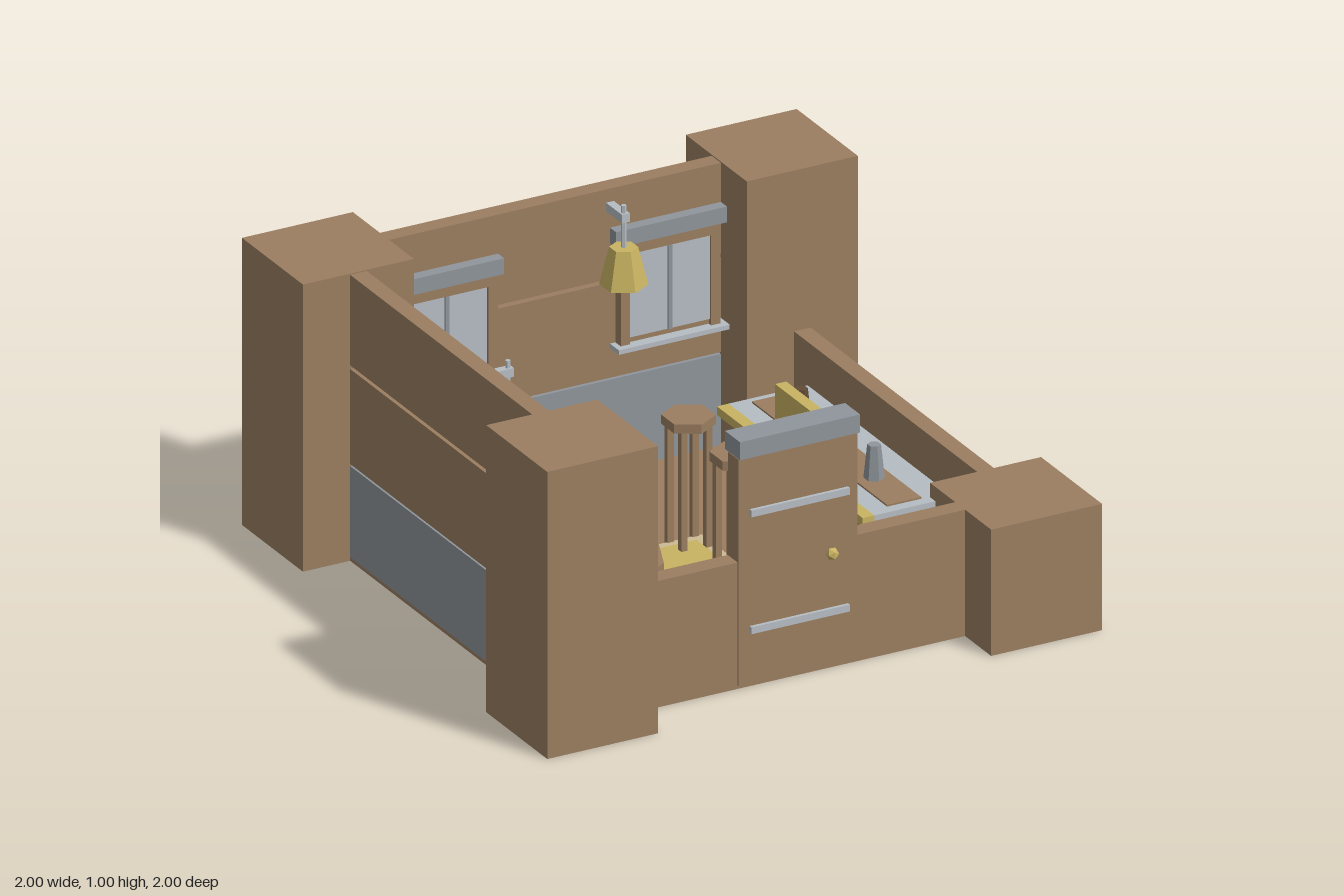
import * as THREE from 'three';

export function createModel() {
  const root = new THREE.Group();
  root.name = 'tavernRoom';
  const mat = (name, color) => {
    const m = new THREE.MeshStandardMaterial({ color });
    m.name = name;
    return m;
  };
  const wood = mat('wood', 0x9b7e61);
  const darkWood = mat('darkWood', 0x604b37);
  const stone = mat('stone', 0x8f959b);
  const silver = mat('silver', 0xb6bdc3);
  const gold = mat('gold', 0xc9b362);
  const cream = mat('cream', 0xcbbb93);

  const add = (parent, name, geo, m, x = 0, y = 0, z = 0) => {
    const mesh = new THREE.Mesh(geo, m);
    mesh.name = name;
    mesh.position.set(x, y, z);
    parent.add(mesh);
    return mesh;
  };
  // Box given by its limits on each axis
  const box = (name, m, x0, x1, y0, y1, z0, z1, parent = root) =>
    add(parent, name, new THREE.BoxGeometry(x1 - x0, y1 - y0, z1 - z0), m,
      (x0 + x1) / 2, (y0 + y1) / 2, (z0 + z1) / 2);
  // Flat-sided prism standing on y0
  const prism = (name, m, rTop, rBottom, sides, x, y0, y1, z, parent = root) =>
    add(parent, name, new THREE.CylinderGeometry(rTop, rBottom, y1 - y0, sides).toNonIndexed(), m,
      x, (y0 + y1) / 2, z).geometry.computeVertexNormals();
  const group = (name, x = 0, y = 0, z = 0) => {
    const g = new THREE.Group();
    g.name = name;
    g.position.set(x, y, z);
    root.add(g);
    return g;
  };

  // Floor and corner pillars, one cut low
  box('floor', wood, -0.83, 0.83, 0, 0.012, -0.83, 0.83);
  for (const sx of [-1, 1]) for (const sz of [-1, 1]) {
    const h = sx > 0 && sz > 0 ? 0.44 : 1;
    add(root, 'cornerPillar', new THREE.BoxGeometry(0.4, h, 0.4), wood, 0.8 * sx, h / 2, 0.8 * sz);
  }

  // Tall plank walls with a stone base
  const courses = [[0.012, 0.33, stone], [0.337, 0.668, wood], [0.681, 0.996, wood]];
  for (const [y0, y1, m] of courses) {
    box('backWallCourse', m, -0.6, 0.6, y0, y1, -0.83, -0.77);
    box('leftWallCourse', m, -0.83, -0.77, y0, y1, -0.6, 0.6);
  }

  // Low walls
  box('rightWall', wood, 0.77, 0.83, 0.012, 0.44, -0.6, 0.6);
  box('frontWall', wood, -0.6, -0.22, 0.012, 0.44, 0.765, 0.83);
  box('frontWall', wood, 0.21, 0.6, 0.012, 0.44, 0.765, 0.83);

  // Door with frame, lintel, straps and knob
  const door = group('door');
  box('doorPanel', wood, -0.18, 0.17, 0.012, 0.8, 0.795, 0.835, door);
  box('doorPost', wood, -0.22, -0.18, 0.012, 0.8, 0.765, 0.835, door);
  box('doorPost', wood, 0.17, 0.21, 0.012, 0.8, 0.765, 0.835, door);
  box('doorLintel', stone, -0.22, 0.213, 0.802, 0.865, 0.747, 0.845, door);
  for (const y of [0.2, 0.607]) box('doorStrap', silver, -0.18, 0.175, y - 0.012, y + 0.012, 0.835, 0.847, door);
  add(door, 'doorKnob', new THREE.IcosahedronGeometry(0.022, 0), gold, 0.11, 0.405, 0.85);

  // Windows on the back wall
  for (const cx of [-0.403, 0.4]) {
    const w = group('window', cx, 0, -0.77);
    box('windowFrame', wood, -0.18, 0.18, 0.455, 0.805, 0, 0.02, w);
    for (const s of [-1, 1]) {
      box('windowStile', wood, s * 0.163 - 0.017, s * 0.163 + 0.017, 0.455, 0.805, 0.02, 0.035, w);
      box('windowPane', silver, s * 0.076 - 0.07, s * 0.076 + 0.07, 0.475, 0.77, 0.02, 0.026, w);
    }
    box('windowRail', wood, -0.146, 0.146, 0.77, 0.805, 0.02, 0.035, w);
    box('windowMullion', stone, -0.007, 0.007, 0.475, 0.77, 0.02, 0.033, w);
    box('windowLintel', stone, -0.2, 0.2, 0.805, 0.86, 0, 0.04, w);
    box('windowSill', silver, -0.2, 0.2, 0.44, 0.456, 0, 0.058, w);
  }

  // Hanging wall lamps, reaching out from the wall along local +z
  for (const [x, z, turn] of [[0.2, -0.77, 0], [-0.77, 0.16, Math.PI / 2]]) {
    const lamp = group('wallLamp', x, 0, z);
    lamp.rotation.y = turn;
    box('lampArm', silver, -0.014, 0.014, 0.92, 0.95, 0, 0.105, lamp);
    prism('lampRod', silver, 0.009, 0.009, 6, 0, 0.825, 0.975, 0.09, lamp);
    prism('lampShade', gold, 0.046, 0.078, 6, 0, 0.7, 0.83, 0.09, lamp);
  }

  // Fireplace with logs
  const fire = group('fireplace');
  box('mantel', stone, -0.77, -0.655, 0.37, 0.43, -0.38, 0.215, fire);
  box('fireplaceLeg', stone, -0.77, -0.67, 0.012, 0.37, -0.36, -0.26, fire);
  box('fireplaceLeg', stone, -0.77, -0.67, 0.012, 0.37, 0.095, 0.195, fire);
  for (const z of [-0.17, -0.08, 0.01]) {
    const log = add(fire, 'log', new THREE.CylinderGeometry(0.035, 0.04, 0.16, 5).toNonIndexed(), darkWood, -0.67, 0.06, z);
    log.geometry.computeVertexNormals();
    log.rotation.z = Math.PI / 2 - 0.25;
  }

  // Octagonal tables, each with a mug and two benches
  for (const [x, z] of [[-0.363, -0.5], [-0.443, 0.358]]) {
    const t = group('tableSet', x, 0, z);
    prism('tableTop', wood, 0.198, 0.198, 8, 0, 0.285, 0.32, 0, t);
    prism('tableLeg', wood, 0.04, 0.04, 8, 0, 0.012, 0.285, 0, t);
    prism('tableFoot', wood, 0.09, 0.1, 8, 0, 0.012, 0.04, 0, t);
    prism('mug', cream, 0.048, 0.048, 6, 0, 0.32, 0.41, 0, t);
    for (const s of [-1, 1]) {
      const bz = s * 0.25;
      const z0 = Math.max(bz - 0.05, -0.77 - z);
      box('benchSeat', wood, -0.182, 0.182, 0.17, 0.2, z0, bz + 0.05, t);
      for (const lx of [-0.14, 0.14])
        box('benchLeg', wood, lx - 0.02, lx + 0.02, 0.012, 0.17, Math.max(bz - 0.04, z0), bz + 0.04, t);
    }
  }

  // Bar stools
  for (const z of [-0.165, 0.152, 0.475]) {
    const s = group('stool', 0.15, 0, z);
    prism('stoolSeat', wood, 0.087, 0.087, 6, 0, 0.435, 0.467, 0, s);
    for (const lx of [-0.045, 0.045]) for (const lz of [-0.045, 0.045])
      box('stoolLeg', wood, lx - 0.011, lx + 0.011, 0.012, 0.435, lz - 0.011, lz + 0.011, s);
  }

  // Rug
  box('rugBorder', cream, -0.14, 0.22, 0.012, 0.018, -0.205, 0.04);
  box('rugCentre', gold, -0.102, 0.18, 0.018, 0.023, -0.168, 0.003);

  // Bar counter
  const bar = group('barCounter');
  box('counterBody', wood, 0.385, 0.64, 0.012, 0.36, -0.3, 0.615, bar);
  box('counterTop', silver, 0.38, 0.665, 0.36, 0.39, -0.32, 0.635, bar);
  box('counterTrim', gold, 0.338, 0.38, 0.36, 0.39, -0.32, 0.635, bar);
  box('counterInlay', wood, 0.447, 0.57, 0.39, 0.396, -0.288, 0.597, bar);
  for (const [z, m] of [[-0.082, darkWood], [0.157, gold], [0.397, stone]])
    prism('tankard', m, 0.022, 0.034, 6, 0.51, 0.396, 0.512, z, bar);

  // Notice board on the counter
  box('noticeBoard', gold, 0.357, 0.397, 0.46, 0.605, 0.027, 0.298, bar);
  for (const z of [0.08, 0.245]) box('boardPost', silver, 0.367, 0.387, 0.39, 0.46, z - 0.01, z + 0.01, bar);

  return root;
}
